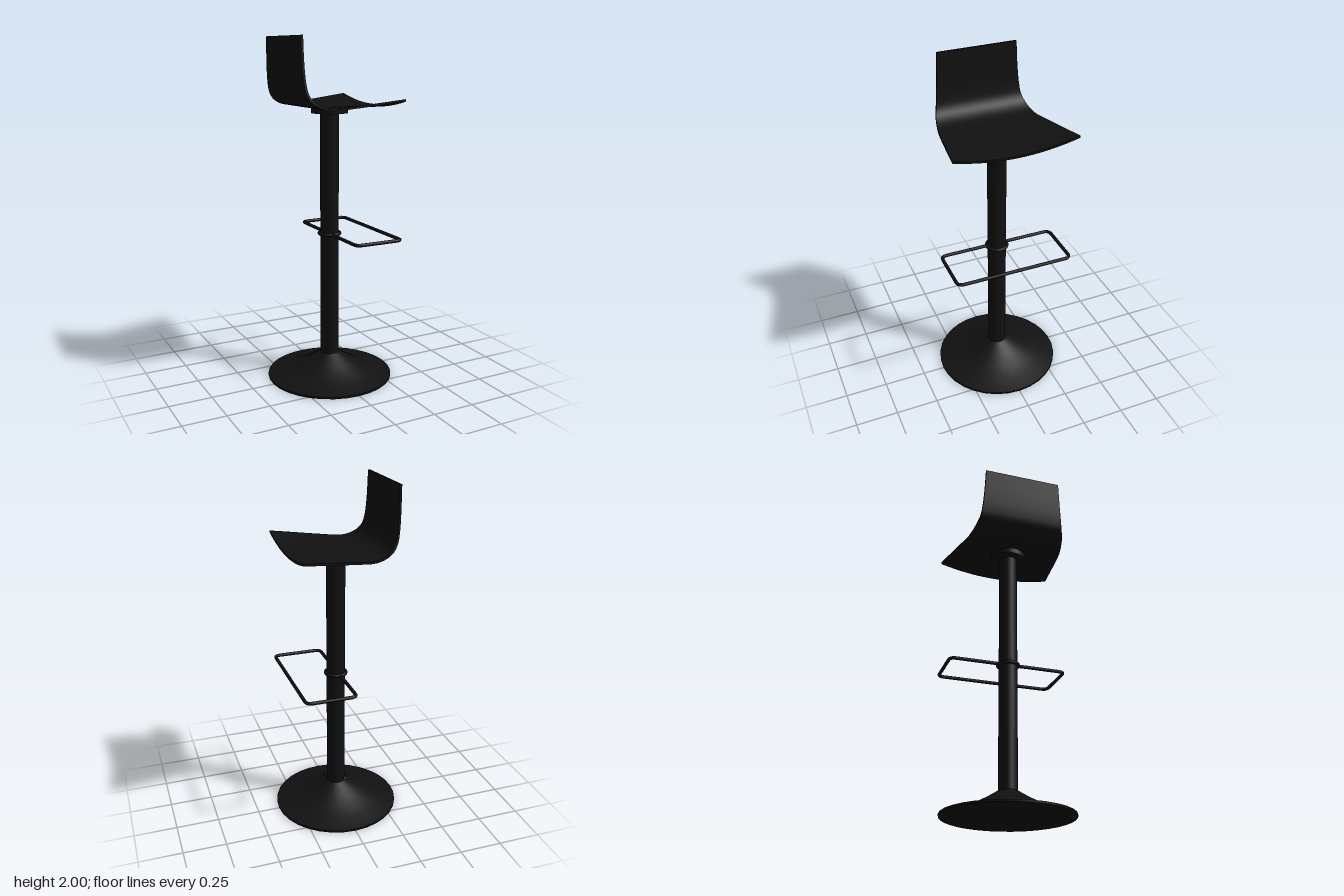
import * as THREE from 'three';
import { toCreasedNormals } from 'three/addons/utils/BufferGeometryUtils.js';

const material = new THREE.MeshStandardMaterial({ color: 0x111111 });

function addMesh(group, name, geometry, y = 0) {
  const mesh = new THREE.Mesh(geometry, material);
  mesh.name = name;
  mesh.position.y = y;
  group.add(mesh);
  return mesh;
}

// Seat and back in one bent shell: sections swept from the back's top to the seat's front.
function seatGeometry() {
  // x, y of the outer face and half width
  const path = new THREE.CatmullRomCurve3([
    [-0.285, 2, 0.23], [-0.282, 1.85, 0.237], [-0.275, 1.75, 0.245], [-0.262, 1.69, 0.253],
    [-0.235, 1.65, 0.265], [-0.19, 1.622, 0.276], [-0.13, 1.608, 0.288], [0, 1.605, 0.31],
    [0.14, 1.605, 0.332], [0.283, 1.605, 0.354],
  ].map((p) => new THREE.Vector3(...p)));
  const rows = 36, cols = 16, thickness = 0.013, ring = 2 * (cols + 1);
  const positions = [], index = [];

  for (let i = 0; i <= rows; i++) {
    const p = path.getPoint(i / rows);
    const t = path.getTangent(i / rows);
    const length = Math.hypot(t.x, t.y);
    const nx = -t.y / length, ny = t.x / length;
    // the sides curl up toward the front
    const lift = 0.045 * Math.max(0, (p.x + 0.12) / 0.4);
    for (let k = 0; k < ring; k++) {
      const inner = k <= cols;
      const s = inner ? -1 + (2 * k) / cols : 1 - (2 * (k - cols - 1)) / cols;
      const offset = inner ? thickness : 0;
      positions.push(p.x + nx * offset, p.y + ny * offset + lift * s * s, p.z * s);
    }
  }
  for (let i = 0; i < rows; i++) {
    for (let k = 0; k < ring; k++) {
      const a = i * ring + k, b = i * ring + ((k + 1) % ring);
      index.push(a, b, b + ring, a, b + ring, a + ring);
    }
  }
  // end strips
  for (let k = 0; k < cols; k++) {
    const a = k, b = k + 1, c = ring - 2 - k, d = ring - 1 - k;
    const e = rows * ring;
    index.push(a, c, b, a, d, c);
    index.push(e + a, e + b, e + c, e + a, e + c, e + d);
  }
  const geometry = new THREE.BufferGeometry();
  geometry.setAttribute('position', new THREE.Float32BufferAttribute(positions, 3));
  geometry.setIndex(index);
  return toCreasedNormals(geometry, 0.7);
}

// Rounded rectangular loop lying flat
function footrestCurve(x0, x1, halfZ, r) {
  const corners = [[x0, -halfZ], [x1, -halfZ], [x1, halfZ], [x0, halfZ]]
    .map(([x, z]) => new THREE.Vector3(x, 0, z));
  const toward = (a, b) => a.clone().add(b.clone().sub(a).setLength(r));
  const loop = new THREE.CurvePath();
  corners.forEach((c, i) => {
    const next = corners[(i + 1) % 4], after = corners[(i + 2) % 4];
    loop.add(new THREE.LineCurve3(toward(c, next), toward(next, c)));
    loop.add(new THREE.QuadraticBezierCurve3(toward(next, c), next, toward(next, after)));
  });
  return loop;
}

export function createModel() {
  const stool = new THREE.Group();
  stool.name = 'barStool';

  // Flared foot
  const profile = [[0, 0], [0.37, 0], [0.37, 0.012], [0.28, 0.031], [0.2, 0.06],
    [0.13, 0.096], [0.055, 0.142]].map(([x, y]) => new THREE.Vector2(x, y));
  addMesh(stool, 'base', toCreasedNormals(new THREE.LatheGeometry(profile, 32), 0.7));

  // Column and plate under the seat
  addMesh(stool, 'column', new THREE.CylinderGeometry(0.054, 0.054, 1.48, 32), 0.84);
  addMesh(stool, 'seatPlate', new THREE.CylinderGeometry(0.105, 0.105, 0.035, 32), 1.593);

  // Footrest loop with its collar
  const footrest = new THREE.Group();
  footrest.name = 'footrest';
  footrest.position.y = 0.875;
  stool.add(footrest);
  addMesh(footrest, 'footrestBar',
    new THREE.TubeGeometry(footrestCurve(-0.01, 0.281, 0.345, 0.035), 160, 0.01, 10, true));
  const collar = new THREE.TorusGeometry(0.059, 0.011, 10, 32).rotateX(Math.PI / 2);
  addMesh(footrest, 'footrestCollar', collar);

  addMesh(stool, 'seat', seatGeometry());
  return stool;
}
